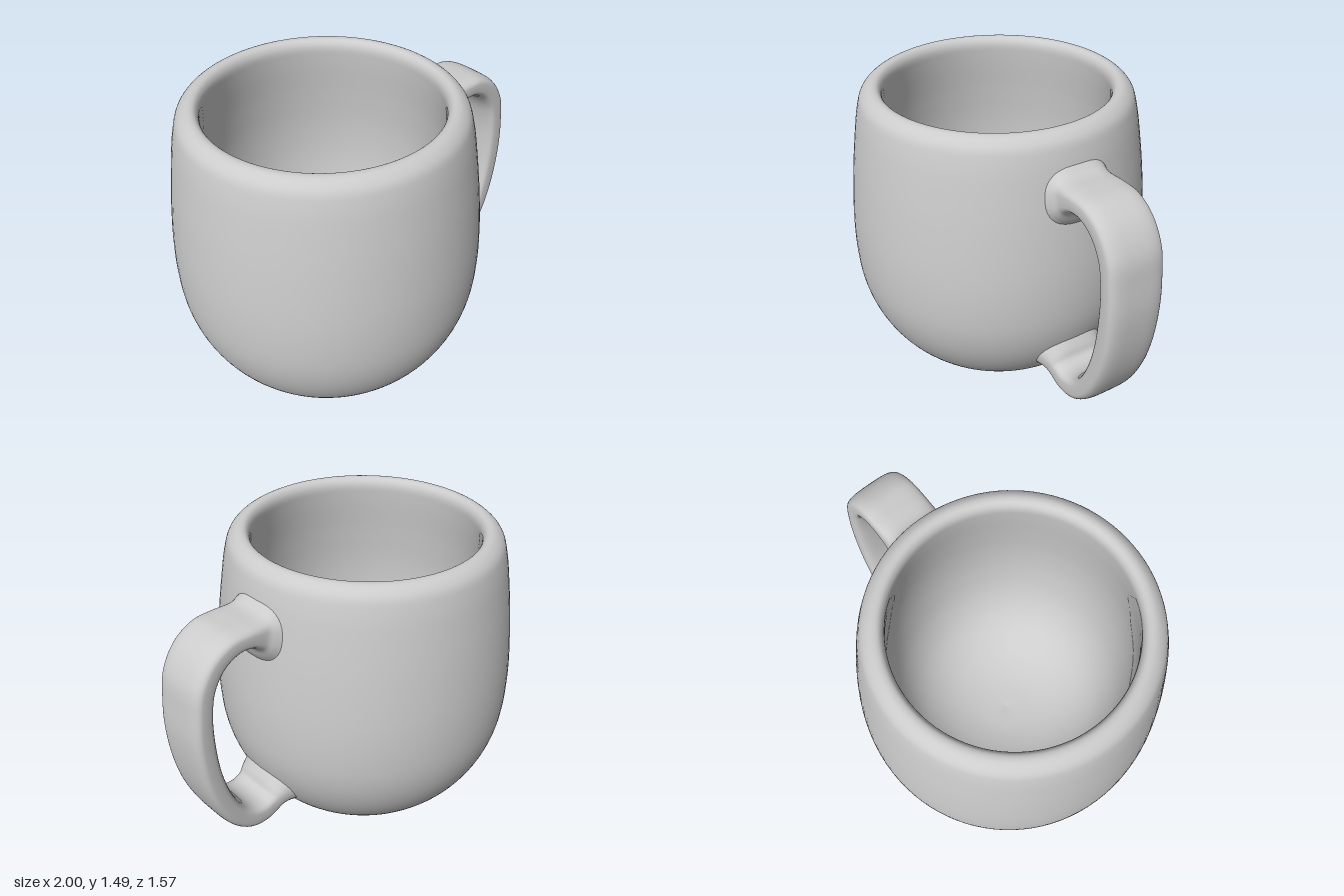
import * as THREE from 'three';

const material = new THREE.MeshStandardMaterial({ color: 0xcccccc, side: THREE.DoubleSide });
const CUP_X = -0.215;

const curve = (pts) =>
  new THREE.CatmullRomCurve3(pts.map(([x, y]) => new THREE.Vector3(x, y, 0)), false, 'centripetal');

// Thick-walled cup: flat base, rounded belly, soft rim, bowl-shaped inside
function makeCup() {
  const wall = curve([
    [0.49, 0], [0.54, 0.02], [0.62, 0.1], [0.688, 0.2], [0.738, 0.31], [0.77, 0.43],
    [0.784, 0.56], [0.784, 0.75], [0.763, 1.0], [0.737, 1.2], [0.706, 1.38],
    [0.682, 1.45], [0.635, 1.487], [0.6, 1.485], [0.58, 1.455], [0.582, 1.38],
    [0.61, 1.15], [0.628, 0.93], [0.62, 0.7], [0.575, 0.48], [0.485, 0.31],
    [0.35, 0.195], [0.18, 0.13], [0, 0.11],
  ]).getPoints(110).map((p) => new THREE.Vector2(Math.max(0, p.x), Math.max(0, p.y)));
  const profile = [new THREE.Vector2(0, 0), new THREE.Vector2(0.47, 0), ...wall];
  const cup = new THREE.Mesh(new THREE.LatheGeometry(profile, 96), material);
  cup.name = 'cup';
  cup.position.x = CUP_X;
  return cup;
}

// Handle: rounded-rectangle sections spanning an outer and an inner edge curve
function makeHandle() {
  const outer = curve([
    [0.44, 1.385], [0.5, 1.335], [0.55, 1.304], [0.66, 1.3], [0.77, 1.29], [0.88, 1.225], [0.96, 1.1],
    [0.985, 0.95], [0.994, 0.78], [0.968, 0.55], [0.91, 0.36], [0.82, 0.2], [0.72, 0.12],
    [0.62, 0.104], [0.54, 0.125], [0.475, 0.142], [0.37, 0.1],
  ]);
  const inner = curve([
    [0.49, 0.98], [0.553, 1.07], [0.585, 1.135], [0.63, 1.177], [0.7, 1.186], [0.78, 1.15], [0.84, 1.07],
    [0.868, 0.95], [0.87, 0.78], [0.848, 0.58], [0.8, 0.41], [0.74, 0.3], [0.68, 0.25],
    [0.62, 0.238], [0.58, 0.255], [0.558, 0.3], [0.49, 0.4],
  ]);
  const rings = 96, sides = 40;
  const positions = [], index = [];
  for (let r = 0; r <= rings; r++) {
    const t = r / rings;
    const o = outer.getPoint(t), i = inner.getPoint(t);
    const mid = o.clone().add(i).multiplyScalar(0.5);
    const half = o.clone().sub(i).multiplyScalar(0.5);
    // The ends flare and grow rounder where they merge with the wall
    const flare = Math.max(0, 1 - Math.min(t, 1 - t) / 0.14);
    const width = 0.152 + 0.05 * flare * flare;
    const round = (v) => Math.sign(v) * Math.abs(v) ** (0.55 + 0.4 * flare);
    for (let s = 0; s < sides; s++) {
      const a = (s / sides) * Math.PI * 2;
      const p = mid.clone().addScaledVector(half, round(Math.cos(a)));
      positions.push(p.x, p.y, width * round(Math.sin(a)));
      if (r < rings) {
        const n = (s + 1) % sides, k = r * sides;
        index.push(k + s, k + n, k + sides + s, k + n, k + sides + n, k + sides + s);
      }
    }
  }
  const geometry = new THREE.BufferGeometry();
  geometry.setAttribute('position', new THREE.Float32BufferAttribute(positions, 3));
  geometry.setIndex(index);
  geometry.computeVertexNormals();
  const handle = new THREE.Mesh(geometry, material);
  handle.name = 'handle';
  return handle;
}

export function createModel() {
  const mug = new THREE.Group();
  mug.name = 'mug';
  mug.add(makeCup(), makeHandle());
  return mug;
}
